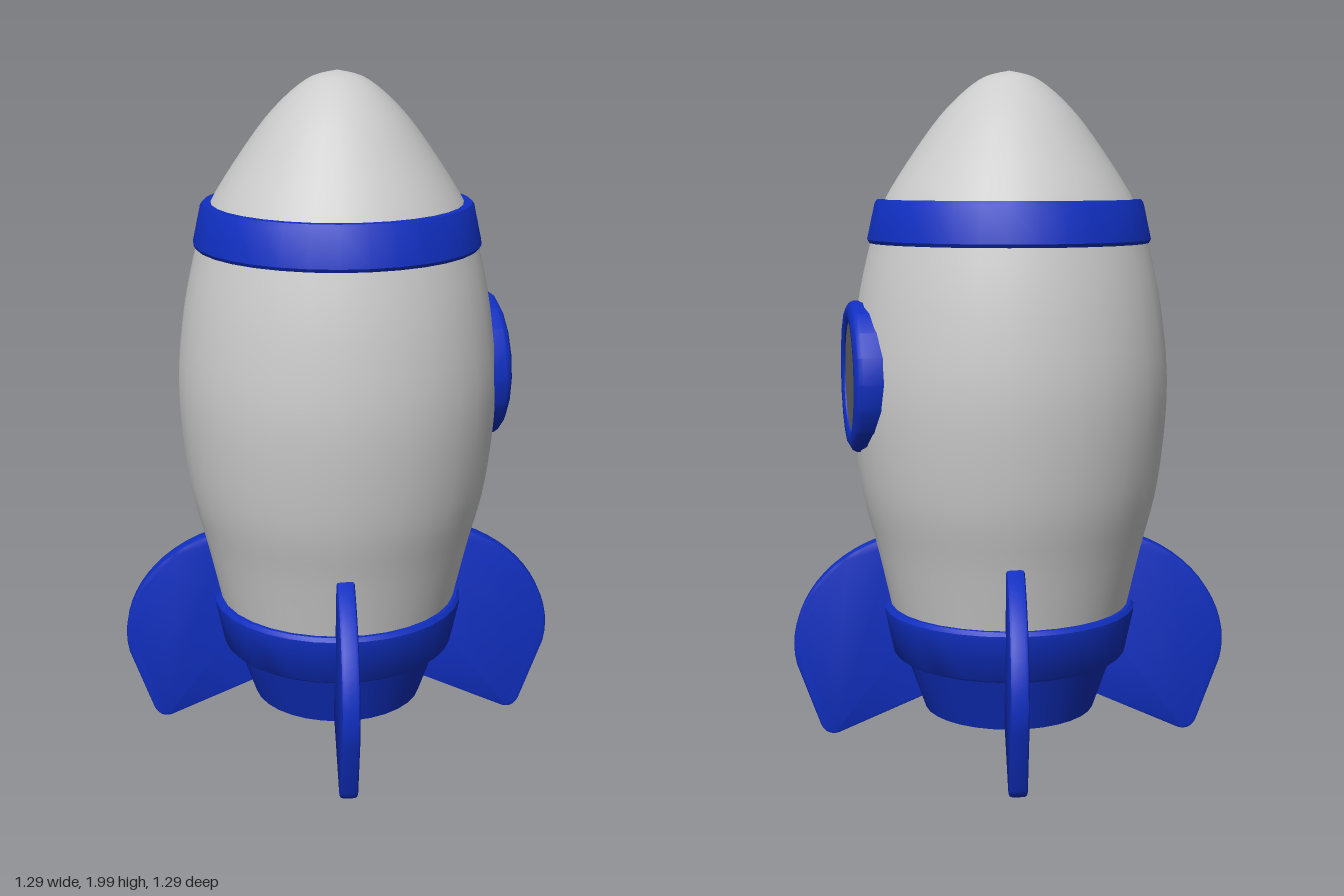
import * as THREE from 'three';
import { toCreasedNormals } from 'three/addons/utils/BufferGeometryUtils.js';

const grey = new THREE.MeshStandardMaterial({ color: 0xcccccc, side: THREE.DoubleSide });
const blue = new THREE.MeshStandardMaterial({ color: 0x102fc0, side: THREE.DoubleSide });
const dark = new THREE.MeshStandardMaterial({ color: 0x666666 });

const vectors = (points) => points.map(([a, b]) => new THREE.Vector2(a, b));

// Turned part from [radius, height] points, with sharp edges kept
function turned(name, points, material, segments = 32) {
  const lathe = new THREE.LatheGeometry(vectors(points), segments);
  const mesh = new THREE.Mesh(toCreasedNormals(lathe, 0.6), material);
  mesh.name = name;
  return mesh;
}

export function createModel() {
  const model = new THREE.Group();
  model.name = 'rocket';
  const rocket = new THREE.Group();
  rocket.name = 'rocketBody';
  rocket.position.x = -0.012;
  model.add(rocket);

  // Hull: smooth curve through a few radii, bottom to tip
  const hull = new THREE.SplineCurve(vectors([
    [0.355, 0.41], [0.398, 0.6], [0.446, 0.8], [0.471, 1.07], [0.452, 1.3], [0.41, 1.5],
    [0.365, 1.63], [0.248, 1.81], [0.165, 1.91], [0.08, 1.978], [0.0001, 2],
  ])).getPoints(44).map((p) => [Math.max(p.x, 0), p.y]);
  rocket.add(turned('hull', hull, grey));

  // Band under the nose cone
  rocket.add(turned('noseBand', [
    [0.39, 1.505], [0.412, 1.505], [0.418, 1.515], [0.395, 1.62], [0.388, 1.63], [0.36, 1.63],
  ], blue));

  // Collar and nozzle at the tail
  rocket.add(turned('tailCollar', [
    [0.3, 0.27], [0.344, 0.27], [0.352, 0.278], [0.379, 0.405], [0.379, 0.415], [0.37, 0.426], [0.34, 0.426],
  ], blue));
  rocket.add(turned('nozzle', [[0.257, 0.1], [0.318, 0.275]], blue));
  rocket.add(turned('nozzleRim', [[0.236, 0.1], [0.257, 0.1]], grey));
  rocket.add(turned('nozzleInside', [[0, 0.2], [0.17, 0.2], [0.236, 0.1]], blue));

  // Four fins, slightly turned around the hull
  const shape = new THREE.Shape();
  shape.moveTo(0.268, 0.135);
  shape.lineTo(0.525, 0.022);
  shape.quadraticCurveTo(0.555, 0.014, 0.568, 0.045);
  shape.lineTo(0.637, 0.235);
  shape.bezierCurveTo(0.67, 0.37, 0.58, 0.54, 0.385, 0.61);
  shape.lineTo(0.35, 0.6);
  shape.lineTo(0.335, 0.42);
  shape.lineTo(0.325, 0.29);
  const finGeometry = toCreasedNormals(new THREE.ExtrudeGeometry(shape, {
    depth: 0.032, bevelThickness: 0.01, bevelSize: 0.009, bevelSegments: 2, curveSegments: 14,
  }).translate(0, 0, -0.016), 0.6);
  for (let i = 0; i < 4; i++) {
    const fin = new THREE.Mesh(finGeometry, blue);
    fin.name = 'fin' + (i + 1);
    fin.rotation.y = -0.155 + i * Math.PI / 2;
    rocket.add(fin);
  }

  // Round window on the left side
  const porthole = new THREE.Group();
  porthole.name = 'porthole';
  porthole.position.set(0, 1.12, -0.018);
  porthole.rotation.z = -Math.PI / 2;
  porthole.add(turned('windowFrame', [
    [0.22, 0.38], [0.221, 0.45], [0.214, 0.463], [0.198, 0.472], [0.175, 0.472], [0.164, 0.466], [0.161, 0.44],
  ], blue, 18));
  const glass = new THREE.Mesh(new THREE.CylinderGeometry(0.164, 0.164, 0.03, 18), dark);
  glass.name = 'windowGlass';
  glass.position.y = 0.447;
  porthole.add(glass);
  model.add(porthole);

  return model;
}
